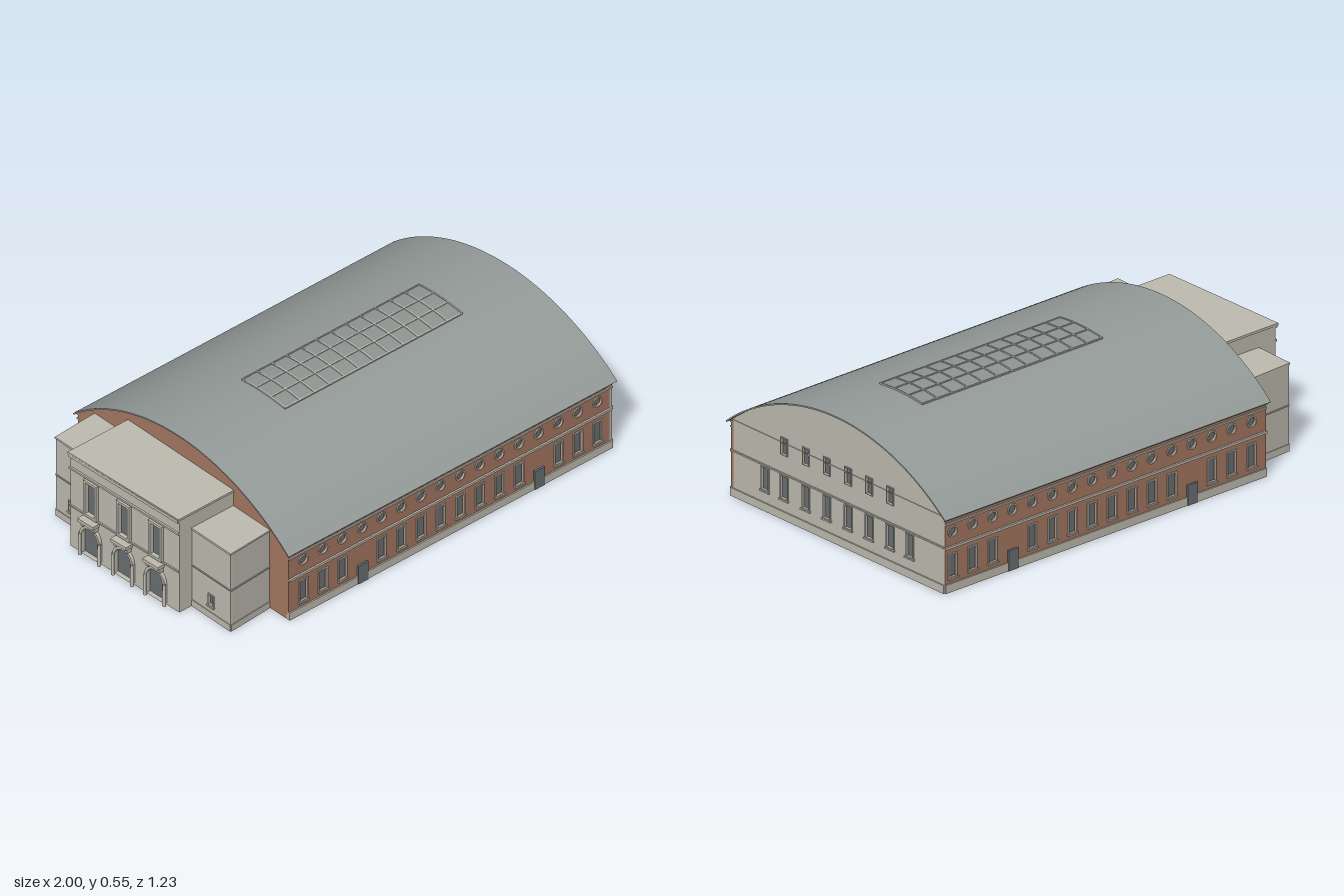
import * as THREE from 'three';
import { toCreasedNormals } from 'three/addons/utils/BufferGeometryUtils.js';

const material = (name, color) => {
  const m = new THREE.MeshStandardMaterial({ color });
  m.name = name;
  return m;
};
const stone = material('pale stone', 0xbfbcb0);
const brick = material('red brick', 0xa67862);
const roofGrey = material('roof grey', 0x959c9a);
const glass = material('window grey', 0x697072);
const skyGlass = material('skylight grey', 0x8f9694);

const T = 0.012;                       // wall thickness
const R = 0.94, ARC_Y = -0.4;          // roof arc radius and centre height

const add = (parent, name, geometry, mat) => {
  const mesh = new THREE.Mesh(geometry, mat);
  mesh.name = name;
  parent.add(mesh);
  return mesh;
};

// Box given by its limits
function box(parent, name, mat, x0, x1, y0, y1, z0, z1) {
  const mesh = add(parent, name, new THREE.BoxGeometry(x1 - x0, y1 - y0, z1 - z0), mat);
  mesh.position.set((x0 + x1) / 2, (y0 + y1) / 2, (z0 + z1) / 2);
  return mesh;
}

const extrude = (shape, depth, z = 0) =>
  new THREE.ExtrudeGeometry(shape, { depth, bevelEnabled: false }).translate(0, 0, z);

// Outline of an opening: x is its middle, y its foot; g grows it outwards
function outline({ kind = 'rect', x, y, w, h }, g = 0) {
  const r = w / 2 + g, pts = [];
  const arc = (cy, a0, a1, n) => {
    for (let i = 0; i <= n; i++) {
      const a = a0 + (a1 - a0) * i / n;
      pts.push(new THREE.Vector2(x + r * Math.cos(a), cy + r * Math.sin(a)));
    }
  };
  if (kind === 'round') {
    arc(y + h / 2, 0, Math.PI * 2 * 19 / 20, 19);
    return pts;
  }
  const foot = y - (kind === 'arch' ? 0 : g);
  pts.push(new THREE.Vector2(x - r, foot), new THREE.Vector2(x + r, foot));
  if (kind === 'arch') arc(y + h - w / 2, 0, Math.PI, 12);
  else pts.push(new THREE.Vector2(x + r, y + h + g), new THREE.Vector2(x - r, y + h + g));
  return pts;
}

// Wall from ground point a to b (outside on the right hand), with glazed openings and ledges
function wall(parent, name, mat, a, b, top, openings = [], ledges = []) {
  const g = new THREE.Group();
  g.name = name;
  const dx = b[0] - a[0], dz = b[1] - a[1], L = Math.hypot(dx, dz);
  g.position.set(a[0], 0, a[1]);
  g.rotation.y = Math.atan2(-dz, dx);
  parent.add(g);

  const pts = [new THREE.Vector2(0, 0), new THREE.Vector2(L, 0)];
  if (top === 'arched') {
    const n = 40, r = R - 0.004;
    for (let i = 0; i <= n; i++) {
      const s = L * (1 - i / n), u = (s / L - 0.5) * 1.2;
      pts.push(new THREE.Vector2(s, ARC_Y + Math.sqrt(r * r - u * u)));
    }
  } else pts.push(new THREE.Vector2(L, top), new THREE.Vector2(0, top));

  const shape = new THREE.Shape(pts);
  for (const o of openings) shape.holes.push(new THREE.Path(outline(o)));
  add(g, name + 'Panel', extrude(shape, T, -T), mat);

  for (const o of openings) {
    if (o.door) {
      box(g, 'door', glass, o.x - o.w / 2, o.x + o.w / 2, 0, o.y + o.h, -T - 0.003, 0.009);
      continue;
    }
    add(g, 'windowGlass', extrude(new THREE.Shape(outline(o)), 0.004, -T + 0.002), glass);
    const frame = new THREE.Shape(outline(o, o.frame ?? 0.005));
    frame.holes.push(new THREE.Path(outline(o)));
    add(g, 'windowFrame', extrude(frame, o.out ?? 0.005), stone);
    if (o.sill) box(g, 'sill', stone, o.x - o.w / 2 - 0.008, o.x + o.w / 2 + 0.008, o.y - 0.009, o.y - 0.003, 0, 0.01);
  }
  for (const [y, h, out] of ledges) box(g, 'ledge', stone, 0, L, y, y + h, y === 0 ? -T - 0.001 : 0, out);
  return g;
}

// Curved band over the hall between two radii, two angles and two x positions
function arcBand(r0, r1, a0, a1, x0, x1, n = 48) {
  const pts = [];
  const put = (r, a) => pts.push(new THREE.Vector2(-r * Math.sin(a), ARC_Y + r * Math.cos(a)));
  for (let i = 0; i <= n; i++) put(r1, a0 + (a1 - a0) * i / n);
  for (let i = n; i >= 0; i--) put(r0, a0 + (a1 - a0) * i / n);
  return extrude(new THREE.Shape(pts), x1 - x0).rotateY(Math.PI / 2).translate(x0, 0, 0);
}

function buildHall(hall) {
  const fl = [-0.668, 0.6], fr = [0.98, 0.6], br = [0.945, -0.6], bl = [-0.668, -0.6];

  // Long brick sides: tall windows, two doors and a row of round windows
  const side = (start, dir) => {
    const list = [];
    for (let i = 0; i < 16; i++) {
      const x = (-0.594 + 0.1 * i - start) * dir;
      if (i === 3 || i === 12) list.push({ x, y: 0.0005, w: 0.05, h: 0.085, door: true });
      else list.push({ x, y: 0.062, w: 0.036, h: 0.092, sill: true, frame: 0.006 });
      list.push({ kind: 'round', x, y: 0.233, w: 0.036, h: 0.036, frame: 0.006 });
    }
    return list;
  };
  const bands = [[0, 0.035, 0.006], [0.182, 0.01, 0.008], [0.284, 0.007, 0.006], [0.304, 0.01, 0.008]];
  wall(hall, 'frontWall', brick, fl, fr, 0.314, side(fl[0], 1), bands);
  wall(hall, 'backWall', brick, br, bl, 0.314, side(br[0], -1), bands);

  // Stone end with two rows of windows
  const end = [];
  for (const z of [0.408, 0.3, 0.178, 0.06, -0.06, -0.178, -0.296, -0.406]) {
    end.push({ x: 0.6 - z, y: 0.088, w: 0.036, h: 0.092, sill: true, frame: 0.004 });
    if (Math.abs(z) < 0.35) end.push({ x: 0.6 - z, y: 0.272, w: 0.033, h: 0.068, frame: 0.003 });
  }
  wall(hall, 'endWall', stone, fr, br, 'arched', end, [[0, 0.034, 0.006], [0.188, 0.006, 0.006], [0.317, 0.004, 0.003]]);
  wall(hall, 'entranceGable', brick, bl, fl, 'arched');

  // Arched roof, its far end cut at a slight slant
  const half = Math.asin(0.614 / R);
  const geo = arcBand(R - 0.006, R, -half, half, -0.68, 0.975);
  const p = geo.attributes.position;
  for (let i = 0; i < p.count; i++) if (p.getX(i) > 0) p.setX(i, p.getX(i) + 0.033 * p.getZ(i));
  add(hall, 'archedRoof', toCreasedNormals(geo, 0.5), roofGrey);

  // Skylight with a grid of bars
  const a = Math.asin(0.122 / R), x0 = -0.258, x1 = 0.645;
  add(hall, 'skylightGlass', arcBand(R, R + 0.003, -a, a, x0, x1, 12), skyGlass);
  for (let i = 0; i <= 12; i++) {
    const x = x0 + (x1 - x0) * i / 12;
    add(hall, 'skylightCrossBar', arcBand(R, R + 0.006, -a, a, x - 0.003, x + 0.003, 12), stone);
  }
  for (let i = 0; i <= 3; i++) {
    const m = -a + 2 * a * i / 3;
    add(hall, 'skylightLongBar', arcBand(R, R + 0.006, m - 0.003, m + 0.003, x0, x1, 1), stone);
  }
}

// Flat slab over a ground outline of [x, z] corners
function slab(parent, name, corners, y0, y1) {
  const shape = new THREE.Shape(corners.map(([x, z]) => new THREE.Vector2(x, -z)));
  add(parent, name, extrude(shape, y1 - y0).rotateX(-Math.PI / 2).translate(0, y0, 0), stone);
}

function buildEntrance(entrance) {
  const X = -0.67, H = 0.445;
  const b = [-0.968, -0.308], f = [-0.945, 0.287];

  // Main facade: arched doorways below tall windows
  const bays = [0.118, 0.298, 0.473], list = [];
  for (const x of bays) {
    list.push({ kind: 'arch', x, y: 0.012, w: 0.085, h: 0.13, frame: 0.012, out: 0.014 });
    list.push({ x, y: 0.205, w: 0.05, h: 0.145, frame: 0.011, out: 0.012 });
  }
  const facade = wall(entrance, 'facade', stone, b, f, H - 0.01, list,
    [[0.19, 0.006, 0.006], [0.368, 0.008, 0.008], [0.425, 0.014, 0.01]]);
  for (const x of bays) {
    box(facade, 'balcony', stone, x - 0.042, x + 0.042, 0.172, 0.187, 0, 0.036);
    for (const s of [-1, 1]) {
      box(facade, 'bracket', stone, x + s * 0.03 - 0.007, x + s * 0.03 + 0.007, 0.15, 0.172, 0, 0.024);
      const column = add(facade, 'column', new THREE.CylinderGeometry(0.007, 0.008, 0.1, 10), stone);
      column.position.set(x + s * 0.052, 0.05, 0.012);
    }
  }
  wall(entrance, 'mainSideFront', stone, f, [X, 0.287], H - 0.01);
  wall(entrance, 'mainSideBack', stone, [X, -0.308], b, H - 0.01);
  slab(entrance, 'mainRoof', [[-0.978, -0.312], [-0.953, 0.291], [X, 0.291], [X, -0.312]], H - 0.01, H);

  // Lower wings on both sides
  const ledges = [[0, 0.03, 0.003], [0.19, 0.005, 0.004]];
  const win = (x) => [{ x, y: 0.065, w: 0.025, h: 0.045, sill: true, frame: 0.004 }];
  const wx = -0.88;
  wall(entrance, 'backWingFace', stone, [wx, -0.487], [wx, -0.308], 0.362, win(0.09), ledges);
  wall(entrance, 'backWingSide', stone, [X, -0.499], [wx, -0.487], 0.362, [], ledges);
  slab(entrance, 'backWingRoof', [[wx - 0.004, -0.49], [wx - 0.004, -0.308], [X, -0.308], [X, -0.502]], 0.362, 0.37);
  wall(entrance, 'frontWingFace', stone, [wx, 0.287], [wx, 0.507], 0.362, win(0.11), ledges);
  wall(entrance, 'frontWingSide', stone, [wx, 0.507], [X, 0.493], 0.362, [], ledges);
  slab(entrance, 'frontWingRoof', [[wx - 0.004, 0.287], [wx - 0.004, 0.511], [X, 0.497], [X, 0.287]], 0.362, 0.37);
}

export function createModel() {
  const model = new THREE.Group();
  model.name = 'marketHall';
  for (const [name, build] of [['hall', buildHall], ['entrance', buildEntrance]]) {
    const part = new THREE.Group();
    part.name = name;
    build(part);
    model.add(part);
  }
  return model;
}
